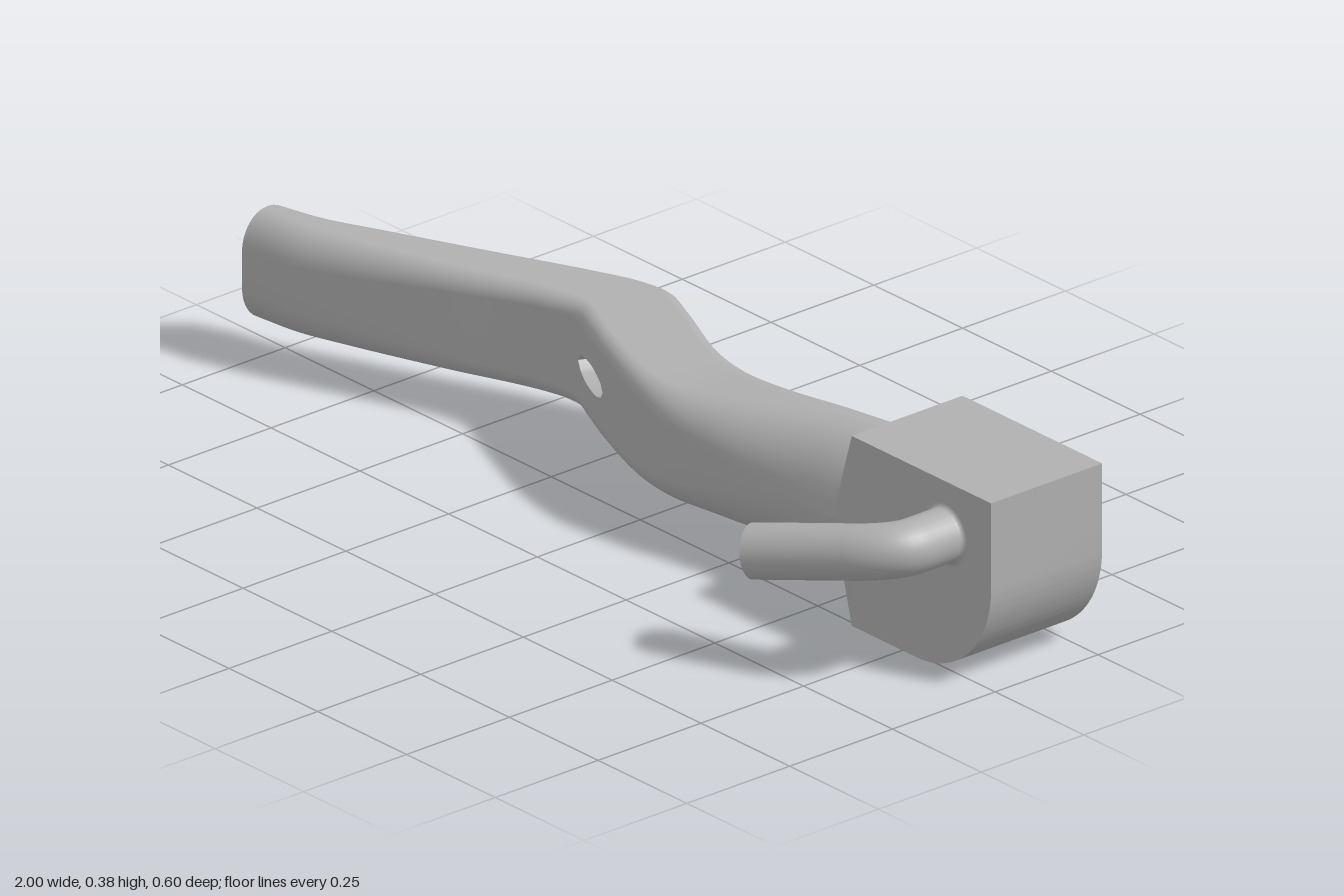
import * as THREE from 'three';
import { toCreasedNormals } from 'three/addons/utils/BufferGeometryUtils.js';

const STEP = 0.01, ARCS = 8;

// Arm stations: x, then back z, front z, bottom y, top y, corner radius in z, corner radius in y
const stationX = [-1, -0.9, -0.8, -0.6, -0.4, -0.32, -0.25, -0.18, 0, 0.1, 0.2, 0.4, 0.54];
const stations = [
  -0.02, 0.105, 0.078, 0.3, 0.06, 0.075,
  -0.045, 0.09, 0.078, 0.299, 0.057, 0.07,
  -0.09, 0.058, 0.079, 0.297, 0.053, 0.062,
  -0.175, -0.02, 0.08, 0.295, 0.042, 0.045,
  -0.262, -0.1, 0.081, 0.294, 0.034, 0.034,
  -0.293, -0.113, 0.081, 0.293, 0.032, 0.032,
  -0.3, -0.086, 0.08, 0.293, 0.032, 0.032,
  -0.274, -0.055, 0.08, 0.293, 0.032, 0.032,
  -0.2, 0.012, 0.079, 0.294, 0.038, 0.038,
  -0.188, 0.034, 0.076, 0.297, 0.055, 0.055,
  -0.196, 0.03, 0.069, 0.307, 0.08, 0.08,
  -0.235, 0, 0.048, 0.326, 0.115, 0.13,
  -0.25, -0.008, 0.04, 0.336, 0.121, 0.148,
];

// Rounded-rectangle ring in the plane x; hf and hb open the front and back sides around mid height
function ring(x, [z0, z1, y0, y1, rzIn, ryIn], hf = 0, hb = 0) {
  const cy = (y0 + y1) / 2, cz = (z0 + z1) / 2;
  const rz = Math.min(rzIn, (z1 - z0) / 2), ry = Math.min(ryIn, (y1 - y0) / 2);
  const pts = [[x, cy + hf, z1]];
  [[1, 1], [-1, 1], [-1, -1], [1, -1]].forEach(([sz, sy], q) => {
    if (q === 2) pts.push([x, cy + hb, z0], [x, cy - hb, z0]);
    for (let k = 0; k <= ARCS; k++) {
      const a = (q + k / ARCS) * Math.PI / 2;
      pts.push([
        x,
        cy + sy * ((y1 - y0) / 2 - ry) + ry * Math.sin(a),
        cz + sz * ((z1 - z0) / 2 - rz) + rz * Math.cos(a),
      ]);
    }
  });
  pts.push([x, cy - hf, z1]);
  return pts;
}

function meshData(points, index) {
  const g = new THREE.BufferGeometry();
  g.setAttribute('position', new THREE.Float32BufferAttribute(points.flat(), 3));
  g.setIndex(index);
  g.computeVertexNormals();
  return g;
}

// Skin between rings; the front and back mid columns stay unjoined, so they part at the slot
function loft(rings) {
  const n = rings[0].length, index = [];
  for (let i = 0; i < rings.length - 1; i++) {
    for (let j = 0; j < n - 1; j++) {
      if (j === n / 2 - 1) continue;
      const a = i * n + j, b = a + n;
      index.push(a, b, b + 1, a, b + 1, a + 1);
    }
  }
  return meshData(rings.flat(), index);
}

export function createModel() {
  const group = new THREE.Group();
  const metal = new THREE.MeshStandardMaterial({ color: 0xb0b0b0, side: THREE.DoubleSide });
  metal.name = 'plain grey';
  const add = (name, geometry) => {
    const mesh = new THREE.Mesh(geometry, metal);
    mesh.name = name;
    group.add(mesh);
    return mesh;
  };

  // Bent arm with an oblique slot
  const curve = new THREE.CubicInterpolant(stationX, stations, 6, new Float32Array(6));
  const lens = (x, c) => 0.026 * Math.sqrt(Math.max(0, 1 - ((x - c) / 0.07) ** 2));
  const rings = [];
  for (let i = 0; i <= 154; i++) {
    const x = -1 + i * STEP;
    rings.push(ring(x, [...curve.evaluate(x)], lens(x, -0.23), lens(x, -0.15)));
  }
  add('arm', loft(rings));

  // Flat end of the arm
  const n = rings[0].length, capIndex = [];
  for (let j = 0; j < n; j++) capIndex.push(n, j, (j + 1) % n);
  add('armEnd', meshData([...rings[0], [-1, 0.189, 0.0425]], capIndex));

  // Slot walls, from the front opening to the back one
  const wallPts = [], wallIndex = [];
  for (const upper of [true, false]) {
    const base = wallPts.length;
    for (let k = 0; k <= 14; k++) {
      wallPts.push(rings[70 + k][upper ? 0 : n - 1], rings[78 + k][upper ? n / 2 - 1 : n / 2]);
    }
    for (let k = 0; k < 14; k++) {
      const a = base + 2 * k, b = a + 1, c = a + 2, d = a + 3;
      if (upper) wallIndex.push(a, d, c, a, b, d);
      else wallIndex.push(a, c, d, a, d, b);
    }
  }
  add('slotWalls', meshData(wallPts, wallIndex));

  // Collar flaring from the round arm to the square block
  const collar = loft([
    rings[rings.length - 1],
    ring(0.607, [-0.26, 0.01, 0, 0.385, 0.002, 0.002]),
  ]);
  add('collar', toCreasedNormals(collar, 0.4));

  // Block with one rounded lower corner
  const side = new THREE.Shape();
  side.moveTo(0.607, 0);
  side.lineTo(0.79, 0);
  side.absarc(0.79, 0.21, 0.21, -Math.PI / 2, 0, false);
  side.lineTo(1, 0.385);
  side.lineTo(0.607, 0.385);
  side.closePath();
  const block = new THREE.ExtrudeGeometry(side, { depth: 0.27, bevelEnabled: false, curveSegments: 24 });
  block.translate(0, 0, -0.26);
  add('block', toCreasedNormals(block, 0.5));

  // Bent peg on the front of the block
  const v = (x, y, z) => new THREE.Vector3(x, y, z);
  const root = v(0.872, 0.278, 0), bendIn = v(0.872, 0.278, 0.085);
  const corner = v(0.872, 0.278, 0.13), bendOut = v(0.8, 0.263, 0.164), tip = v(0.604, 0.222, 0.247);
  const path = new THREE.CurvePath();
  path.add(new THREE.LineCurve3(root, bendIn));
  path.add(new THREE.QuadraticBezierCurve3(bendIn, corner, bendOut));
  path.add(new THREE.LineCurve3(bendOut, tip));
  add('peg', new THREE.TubeGeometry(path, 48, 0.053, 32));

  // Peg end disc
  const disc = add('pegEnd', new THREE.CircleGeometry(0.053, 32));
  disc.position.copy(tip);
  disc.quaternion.setFromUnitVectors(v(0, 0, 1), tip.clone().sub(bendOut).normalize());

  // Small fillet where the peg meets the block
  const profile = [];
  for (let k = 0; k <= 6; k++) {
    const a = k / 6 * Math.PI / 2;
    profile.push(new THREE.Vector2(0.063 - 0.01 * Math.sin(a), 0.01 - 0.01 * Math.cos(a)));
  }
  const fillet = add('pegFillet', new THREE.LatheGeometry(profile, 32));
  fillet.rotation.x = Math.PI / 2;
  fillet.position.set(0.872, 0.278, 0.01);

  return group;
}
